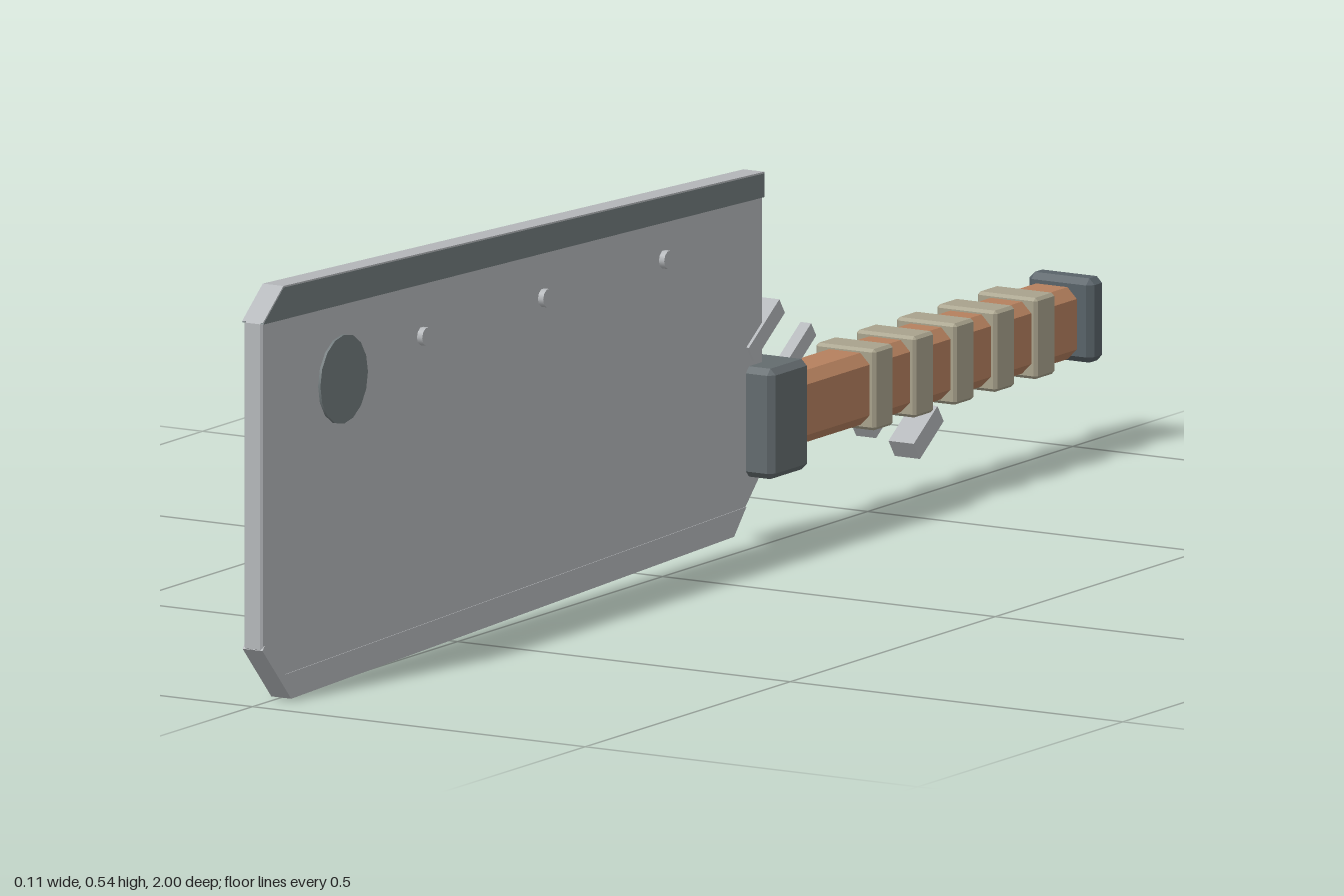
import * as THREE from 'three';
import { ConvexGeometry } from 'three/addons/geometries/ConvexGeometry.js';

const mat = (name, color) => {
  const m = new THREE.MeshStandardMaterial({ color });
  m.name = name;
  return m;
};

// Box with all edges chamfered, flat shaded
function chamferBox(w, h, d, c) {
  const pts = [];
  for (const sx of [-1, 1]) for (const sy of [-1, 1]) for (const sz of [-1, 1]) {
    const x = w / 2, y = h / 2, z = d / 2;
    pts.push(
      new THREE.Vector3(sx * x, sy * (y - c), sz * (z - c)),
      new THREE.Vector3(sx * (x - c), sy * y, sz * (z - c)),
      new THREE.Vector3(sx * (x - c), sy * (y - c), sz * z));
  }
  return new ConvexGeometry(pts);
}

// Plate from a side outline of [z, y] points, centred on x = 0
function sidePlate(outline, thickness, bevel = 0) {
  const shape = new THREE.Shape(outline.map(p => new THREE.Vector2(...p)));
  const depth = thickness - 2 * bevel;
  const g = new THREE.ExtrudeGeometry(shape, {
    depth, bevelEnabled: bevel > 0, bevelThickness: bevel,
    bevelSize: bevel, bevelOffset: -bevel, bevelSegments: 1,
  });
  g.translate(0, 0, -depth / 2);
  g.rotateY(-Math.PI / 2);
  return g;
}

export function createModel() {
  const steel = mat('steel', 0xb4b7ba);
  const darkSteel = mat('darkSteel', 0x717a7c);
  const iron = mat('iron', 0x636b6e);
  const pommelIron = mat('pommelIron', 0x586268);
  const wood = mat('wood', 0xb5805e);
  const cloth = mat('cloth', 0xa8a28c);

  const model = new THREE.Group();
  model.name = 'cleaver';
  const add = (name, geometry, material, x = 0, y = 0, z = 0) => {
    const mesh = new THREE.Mesh(geometry, material);
    mesh.name = name;
    mesh.position.set(x, y, z);
    model.add(mesh);
    return mesh;
  };

  // Broad blade with clipped corners
  add('blade', sidePlate([
    [0.93, 0.001], [1, 0.075], [1, 0.5], [0.95, 0.541], [-0.222, 0.491],
    [-0.222, 0.1], [-0.15, 0.029],
  ], 0.028, 0.003), steel);

  // Cutting edge along the bottom
  add('cuttingEdge', sidePlate([
    [0.93, 0], [1, 0.074], [0.995, 0.08], [0.945, 0.034], [-0.18, 0.062], [-0.15, 0.028],
  ], 0.03), steel);

  // Dark spine bands on both sides and the light back of the blade between them
  const spine = [[1, 0.5], [0.95, 0.54], [-0.222, 0.49], [-0.222, 0.459]];
  for (const side of [-1, 1]) {
    add('spineBand', sidePlate(spine, 0.004), darkSteel, side * 0.014);
  }
  add('spineTop', sidePlate([[1, 0.502], [0.95, 0.542], [-0.223, 0.492], [-0.223, 0.48]], 0.031), steel);

  // Round inset near the tip, then the rivets
  const disc = (r, width, sides) => new THREE.CylinderGeometry(r, r, width, sides).rotateZ(Math.PI / 2).toNonIndexed();
  add('roundInset', disc(0.058, 0.035, 16), darkSteel, 0, 0.396, 0.805);
  for (const z of [0.61, 0.315, 0.02]) add('rivet', disc(0.012, 0.044, 10), steel, 0, 0.419, z);

  // Guard, grip and pommel
  add('guard', chamferBox(0.108, 0.144, 0.092, 0.008), iron, 0, 0.172, -0.226);
  add('grip', chamferBox(0.075, 0.094, 0.7, 0.014), wood, 0, 0.172, -0.613);
  add('pommel', chamferBox(0.098, 0.11, 0.034, 0.008), pommelIron, 0, 0.173, -0.983);

  // Cloth wraps
  for (let i = 0; i < 5; i++) {
    add('gripWrap', chamferBox(0.09, 0.106, 0.048, 0.004), cloth, 0, 0.172, -0.468 - i * 0.0985);
  }

  // Loose slanted metal slivers: width, height, length, y, z
  for (const [w, h, l, y, z] of [
    [0.036, 0.024, 0.09, 0.285, -0.225],
    [0.016, 0.022, 0.11, 0.232, -0.31],
    [0.03, 0.024, 0.05, 0.122, -0.51],
    [0.038, 0.027, 0.07, 0.085, -0.618],
  ]) {
    add('sliver', new THREE.BoxGeometry(w, h, l), steel, 0, y, z).rotation.x = 0.6;
  }
  return model;
}
